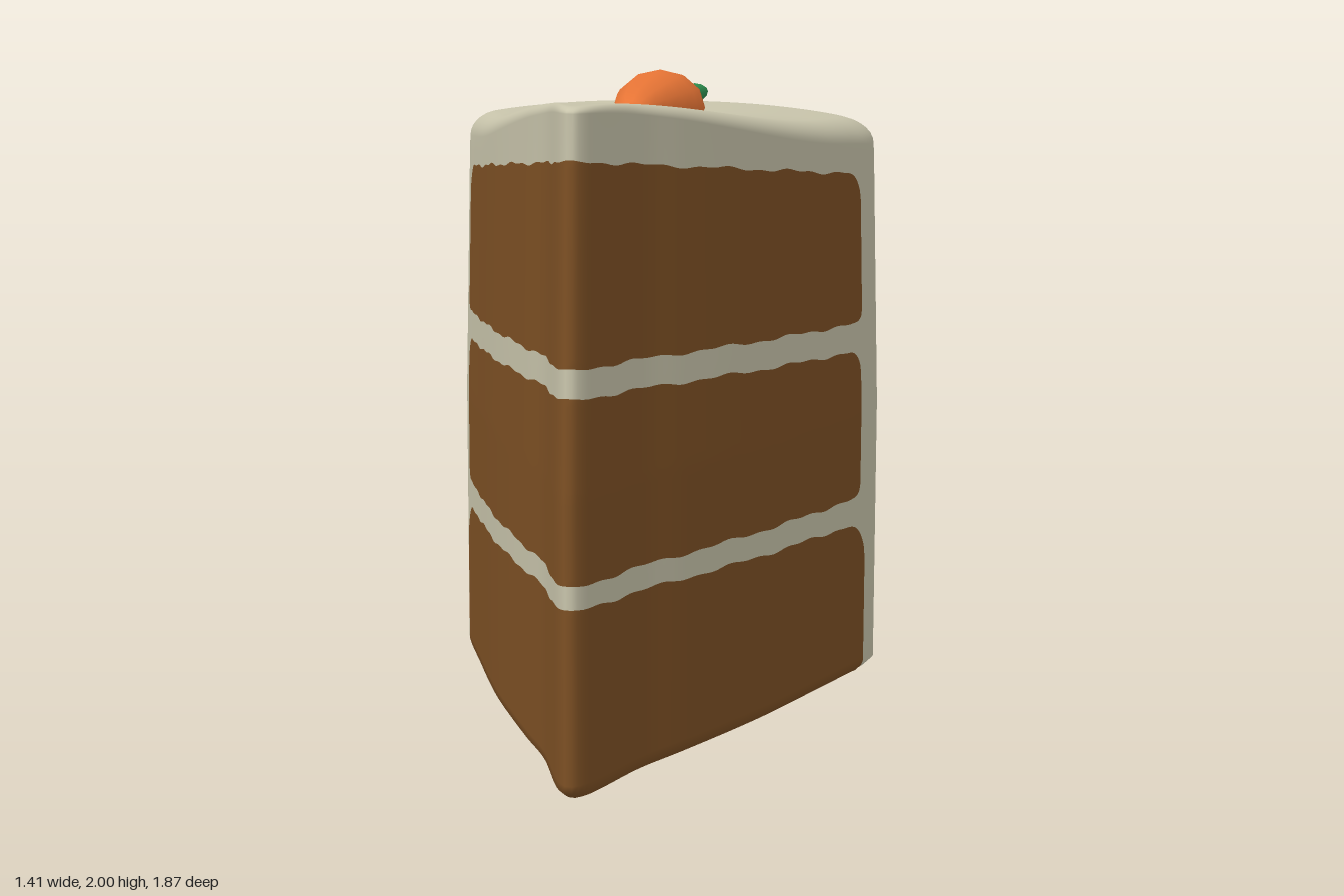
import * as THREE from 'three';

const frosting = new THREE.MeshStandardMaterial({ name: 'cream frosting', color: 0xc8c4ab });
const sponge = new THREE.MeshStandardMaterial({ name: 'brown sponge', color: 0x7d5024 });
const orange = new THREE.MeshStandardMaterial({ name: 'carrot orange', color: 0xea7636 });
const green = new THREE.MeshStandardMaterial({ name: 'leaf green', color: 0x2f9150 });

const { lerp, smoothstep, clamp } = THREE.MathUtils;
const COLS = 240;
const CENTRE_Z = -0.39; // incentre of the wedge
const INRADIUS = 0.487;
const ROUND = 0.075; // top edge radius at the back

// Wedge outline: back centre -> left corner -> tip -> right corner
const half = [
  [0.25, -0.915], [0.5, -0.865], [0.66, -0.8], [0.702, -0.75], [0.695, -0.69], [0.65, -0.57],
  [0.585, -0.4], [0.43, 0], [0.245, 0.4], [0.145, 0.6], [0.032, 0.895],
];
const ring = [[0, -0.93], ...half, [0, 0.925], ...half.slice().reverse().map(([x, z]) => [-x, z])];
const outline = new THREE.CatmullRomCurve3(
  ring.map(([x, z]) => new THREE.Vector3(x, 0, z + 0.03 * x)), true, 'centripetal');
outline.arcLengthDivisions = 1000;

// Edges are softer at the back than at the tip
const softness = (z) => lerp(1, 0.25, clamp((z + 0.7) / 1.62, 0, 1));

// Height of the frosted top
const topHeight = (x, z) =>
  1.88 + 0.12 * smoothstep(z, -0.5, 0.85) - 0.05 * (x / 0.7) ** 2
  - 0.015 * Math.exp(-((x / 0.25) ** 2) - ((z + 0.5) / 0.3) ** 2);

// Inset of the side wall at a height: small chamfer below, slight taper above
const wallInset = (y) => 0.02 * Math.max(0, 1 - y / 0.025) + 0.018 * Math.max(0, y - 0.9);

function inset(p, d) {
  const k = Math.max(0.001, 1 - d / INRADIUS);
  return [p.x * k, CENTRE_Z + (p.z - CENTRE_Z) * k];
}

// Indexed surface from rows of points
function surface(rows, closed) {
  const n = rows[0].length;
  const index = [];
  for (let j = 0; j < rows.length - 1; j++) {
    for (let i = 0; i < (closed ? n : n - 1); i++) {
      const a = j * n + i, b = j * n + ((i + 1) % n);
      index.push(a, a + n, b, b, a + n, b + n);
    }
  }
  const geo = new THREE.BufferGeometry();
  geo.setAttribute('position', new THREE.Float32BufferAttribute(rows.flat(2), 3));
  geo.setIndex(index);
  geo.computeVertexNormals();
  return geo;
}

function part(name, geo, material) {
  const mesh = new THREE.Mesh(geo, material);
  mesh.name = name;
  return mesh;
}

const loop = Array.from({ length: COLS }, (_, i) => outline.getPointAt(i / COLS));
const hollow = (k) => 0.07 * (1 - k * k); // underside curves up in the middle

function cakeBody() {
  const rows = [];
  // underside
  for (let j = 0; j < 8; j++) {
    rows.push(loop.map((p) => {
      const [x, z] = inset(p, lerp(INRADIUS, 0.02, j / 8));
      return [x, 0.005 + hollow(j / 8), z];
    }));
  }
  // side wall
  const heights = [0.004, 0.025, 0.3, 0.6, 0.9, 1.2, 1.5, 1.72];
  for (const y of heights) {
    rows.push(loop.map((p) => {
      const [x, z] = inset(p, wallInset(y));
      return [x, y, z];
    }));
  }
  // rounded top edge
  for (let j = 0; j <= 7; j++) {
    const a = (j / 7) * Math.PI / 2;
    rows.push(loop.map((p) => {
      const r = ROUND * softness(p.z);
      const [x, z] = inset(p, wallInset(1.8) + r * (1 - Math.cos(a)));
      return [x, topHeight(x, z) - r + r * Math.sin(a), z];
    }));
  }
  // top
  for (let j = 1; j <= 16; j++) {
    rows.push(loop.map((p) => {
      const d = wallInset(1.8) + ROUND * softness(p.z);
      const [x, z] = inset(p, lerp(d, INRADIUS, j / 16));
      return [x, topHeight(x, z), z];
    }));
  }
  return part('frostedBody', surface(rows, true), frosting);
}

// Brown underside, leaving a frosting rim along the back
function cakeBase() {
  const rows = [];
  for (let j = 0; j <= 8; j++) {
    rows.push(loop.map((p) => {
      const edge = lerp(0.06, 0.014, smoothstep(p.z, -0.7, -0.6));
      const [x, z] = inset(p, lerp(INRADIUS, edge, j / 8));
      return [x, hollow(j / 8), z];
    }));
  }
  return part('spongeBase', surface(rows, true), sponge);
}

// Sponge layer wrapping both cut sides around the tip
function spongeLayer(name, endZ, low, high, rLow, rHigh) {
  let u0 = 0.15;
  while (outline.getPointAt(u0).z < endZ) u0 += 0.001;
  const length = outline.getLength();
  const corner = (d, r) => (d < r ? r - Math.sqrt(r * r - (r - d) ** 2) : 0);
  const rows = [];
  for (let j = 0; j <= 24; j++) {
    const row = [];
    for (let i = 0; i <= COLS; i++) {
      const t = i / COLS;
      const u = lerp(u0, 1 - u0, t - 0.1 * Math.sin(2 * Math.PI * t)); // denser at the ends
      const p = outline.getPointAt(u);
      const d = Math.min(u - u0, 1 - u0 - u) * length;
      const s = 0.92 - p.z;
      const wobble = 0.004 * Math.sin(p.z * 17 + high[0] * 9) + 0.003 * Math.sin(p.z * 41);
      const y0 = low[0] === 0 ? 0.003 : low[0] - low[1] * s + wobble + corner(d, rLow);
      const y1 = high[0] - high[1] * s + wobble - corner(d, rHigh);
      const y = lerp(y0, y1, j / 24);
      const [x, z] = inset(p, wallInset(y) - 0.005);
      row.push([x, y, z]);
    }
    rows.push(row);
  }
  return part(name, surface(rows, false), sponge);
}

function carrot() {
  const group = new THREE.Group();
  group.name = 'carrotDecoration';
  // root, lathed along its length and flattened
  const profile = [
    [0, 0], [0.11, 0.008], [0.14, 0.045], [0.146, 0.1], [0.138, 0.17], [0.118, 0.3],
    [0.092, 0.44], [0.07, 0.53], [0.045, 0.585], [0, 0.6],
  ].map(([r, y]) => new THREE.Vector2(r, y));
  const rootGeo = new THREE.LatheGeometry(profile, 12);
  rootGeo.rotateX(Math.PI / 2);
  rootGeo.scale(1, 0.84, 1);
  const root = part('carrotRoot', rootGeo, orange);
  root.position.set(0, 1.872, -0.64);
  root.rotation.x = -0.05;
  group.add(root);
  // leaves fanning out behind the root
  for (const [x, z, y] of [[0, -0.79, 1.925], [-0.1, -0.765, 1.915], [0.115, -0.76, 1.915]]) {
    const from = new THREE.Vector3(x * 0.25, 1.905, -0.6);
    const to = new THREE.Vector3(x, y, z);
    const geo = new THREE.SphereGeometry(1, 12, 8);
    geo.scale(0.032, 0.034, from.distanceTo(to) / 2 + 0.005);
    const leaf = part('carrotLeaf', geo, green);
    leaf.position.copy(from).lerp(to, 0.5);
    leaf.lookAt(to);
    group.add(leaf);
  }
  const crownGeo = new THREE.SphereGeometry(1, 12, 8);
  crownGeo.scale(0.075, 0.05, 0.05);
  const crown = part('carrotCrown', crownGeo, green);
  crown.position.set(0, 1.905, -0.64);
  group.add(crown);
  return group;
}

export function createModel() {
  const model = new THREE.Group();
  model.name = 'cakeSlice';
  model.add(
    cakeBody(),
    cakeBase(),
    spongeLayer('bottomSponge', -0.61, [0, 0], [0.57, 0.037], 0.01, 0.13),
    spongeLayer('middleSponge', -0.58, [0.64, 0.026], [1.18, 0.06], 0.04, 0.08),
    spongeLayer('topSponge', -0.59, [1.265, 0.055], [1.85, 0.12], 0.04, 0.09),
    carrot(),
  );
  return model;
}
